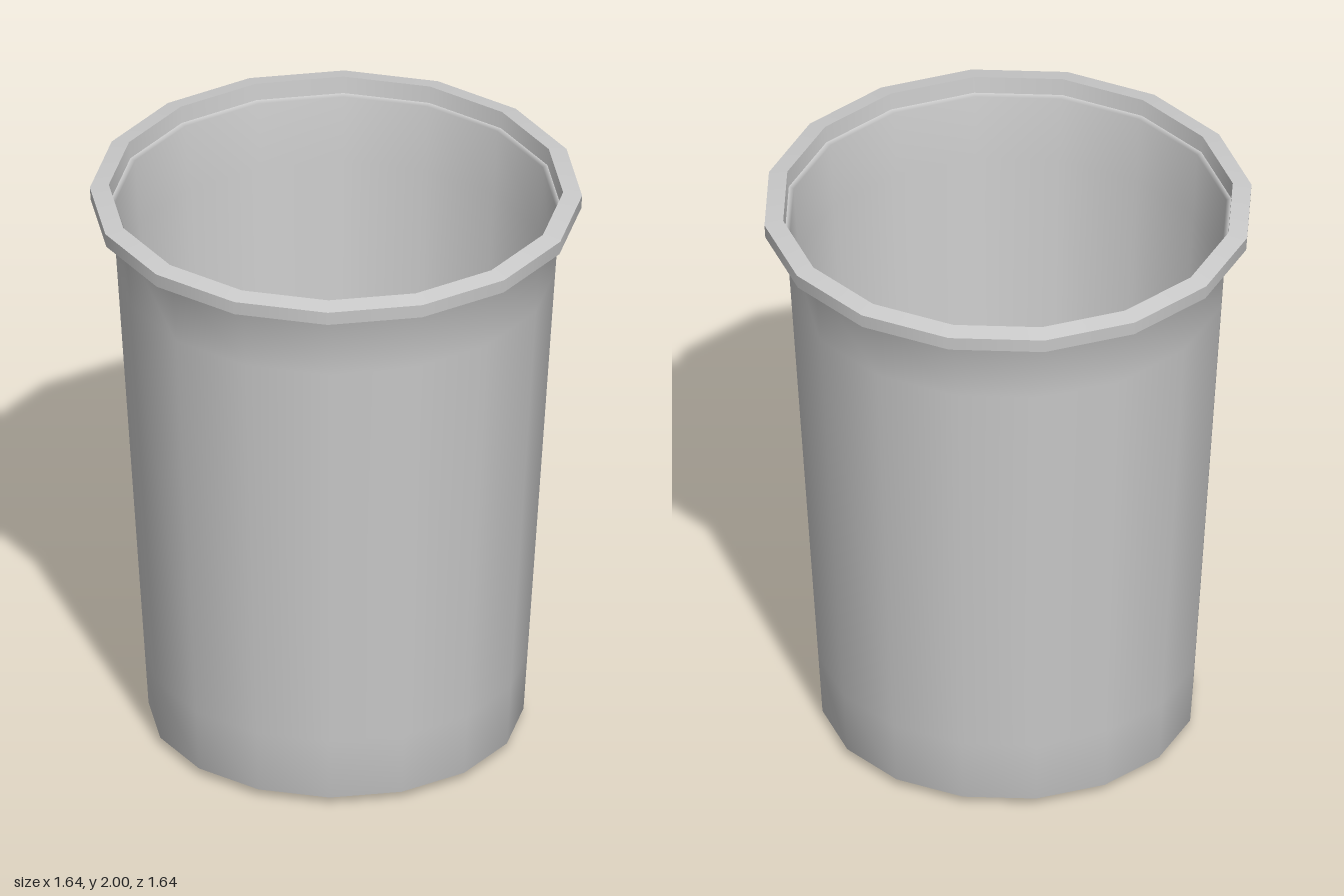
import * as THREE from 'three';

const SIDES = 16;
const material = new THREE.MeshStandardMaterial({ color: 0xcccccc });

// One smooth turned surface from a list of [radius, height] points
function turned(name, profile) {
  const points = profile.map(([r, y]) => new THREE.Vector2(r, y));
  const mesh = new THREE.Mesh(new THREE.LatheGeometry(points, SIDES), material);
  mesh.name = name;
  return mesh;
}

export function createModel() {
  const model = new THREE.Group();
  model.name = 'cup';

  // Outside: slightly domed base, bevelled foot, tapered wall, underside of the rim
  model.add(turned('base', [[0, 0], [0.4, 0.004], [0.59, 0.012], [0.623, 0.028]]));
  model.add(turned('outerWall', [
    [0.59, 0.012], [0.623, 0.028], [0.637, 0.25], [0.729, 1.7], [0.745, 1.94], [0.815, 1.94],
  ]));

  // Rim: hard-edged bands
  const rim = new THREE.Group();
  rim.name = 'rim';
  rim.add(turned('rimOuterBand', [[0.815, 1.94], [0.818, 1.988]]));
  rim.add(turned('rimTop', [[0.818, 1.988], [0.755, 2]]));
  rim.add(turned('rimInnerBand', [[0.755, 2], [0.75, 1.94]]));
  model.add(rim);

  // Inside: narrow ledge, tapered wall and floor
  model.add(turned('innerWall', [
    [0.75, 1.94], [0.733, 1.935], [0.718, 1.7], [0.627, 0.25], [0.613, 0.04], [0.58, 0.03], [0, 0.025],
  ]));

  return model;
}
